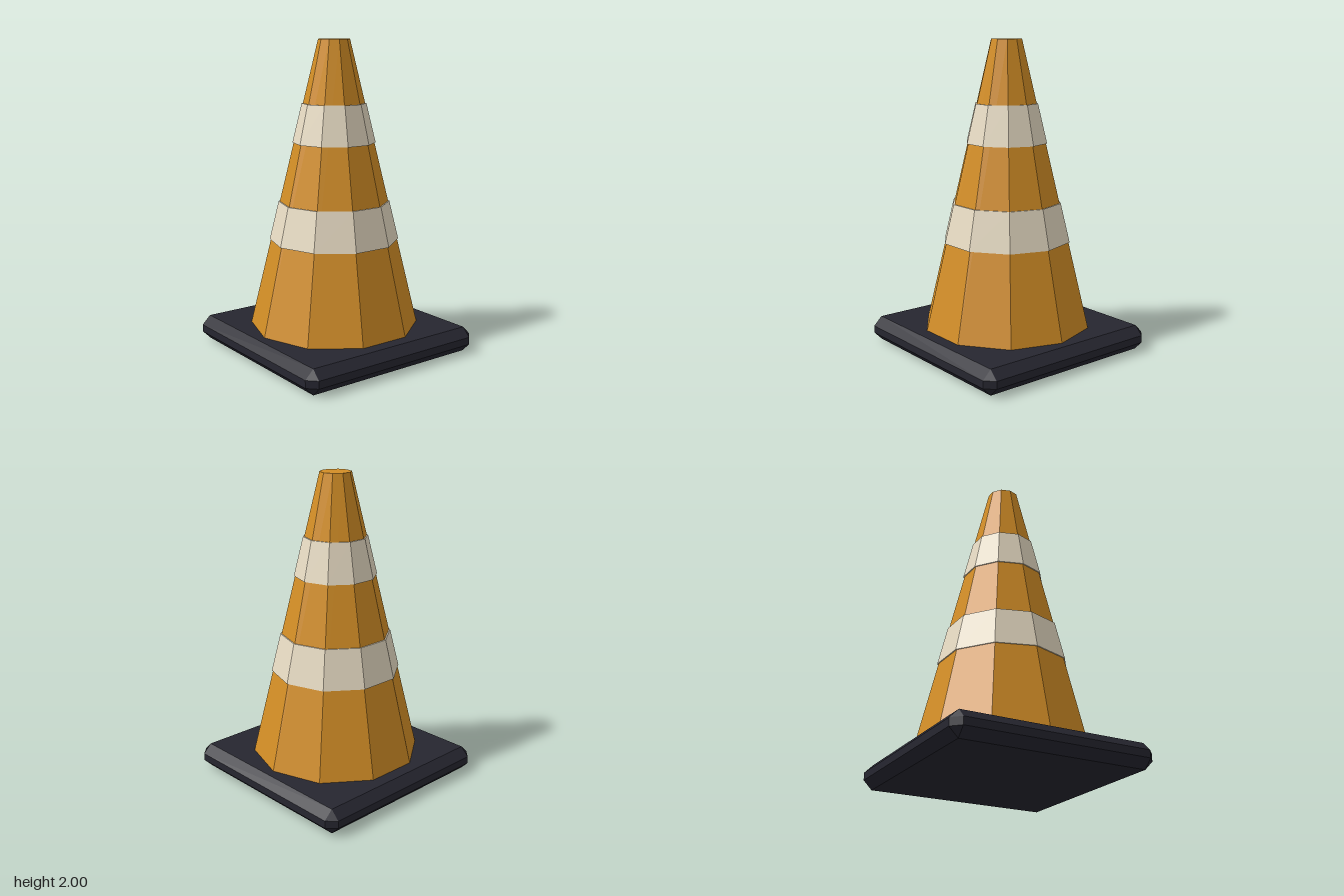
import * as THREE from 'three';
import { ConvexGeometry } from 'three/addons/geometries/ConvexGeometry.js';

const SIDES = 10;
const BASE_TOP = 0.16, CONE_TOP = 2;
const BOTTOM_R = 0.545, TOP_R = 0.1;

// Cone radius at a given height
const radiusAt = (y) =>
  THREE.MathUtils.mapLinear(y, BASE_TOP, CONE_TOP, BOTTOM_R, TOP_R);

function material(name, color) {
  const m = new THREE.MeshStandardMaterial({ color, flatShading: true });
  m.name = name;
  return m;
}

// Ten-sided tapered section that follows the cone, grown outwards by offset
function section(name, y0, y1, offset, mat) {
  const geo = new THREE.CylinderGeometry(
    radiusAt(y1) + offset, radiusAt(y0) + offset, y1 - y0, SIDES);
  const mesh = new THREE.Mesh(geo, mat);
  mesh.name = name;
  mesh.position.y = (y0 + y1) / 2;
  return mesh;
}

// Square slab with every edge and corner chamfered
function chamferedSlab(half, height, c) {
  const points = [];
  for (const sx of [-1, 1]) for (const sz of [-1, 1]) for (const top of [0, 1]) {
    const outer = top ? height : 0;
    const inner = top ? height - c : c;
    points.push(
      new THREE.Vector3(sx * (half - c), outer, sz * (half - c)),
      new THREE.Vector3(sx * half, inner, sz * (half - c)),
      new THREE.Vector3(sx * (half - c), inner, sz * half));
  }
  return new ConvexGeometry(points);
}

export function createModel() {
  const group = new THREE.Group();
  group.name = 'trafficCone';

  const orange = material('orange plastic', 0xd38e26);
  const cream = material('cream band', 0xe8dcc4);
  const rubber = material('dark rubber', 0x262630);

  // Base slab
  const base = new THREE.Mesh(chamferedSlab(0.655, BASE_TOP, 0.056), rubber);
  base.name = 'base';
  group.add(base);

  // Cone body and its two raised bands
  group.add(section('coneBody', BASE_TOP, CONE_TOP, 0, orange));
  group.add(section('lowerBand', 0.72, 0.97, 0.008, cream));
  group.add(section('upperBand', 1.35, 1.6, 0.008, cream));

  return group;
}
